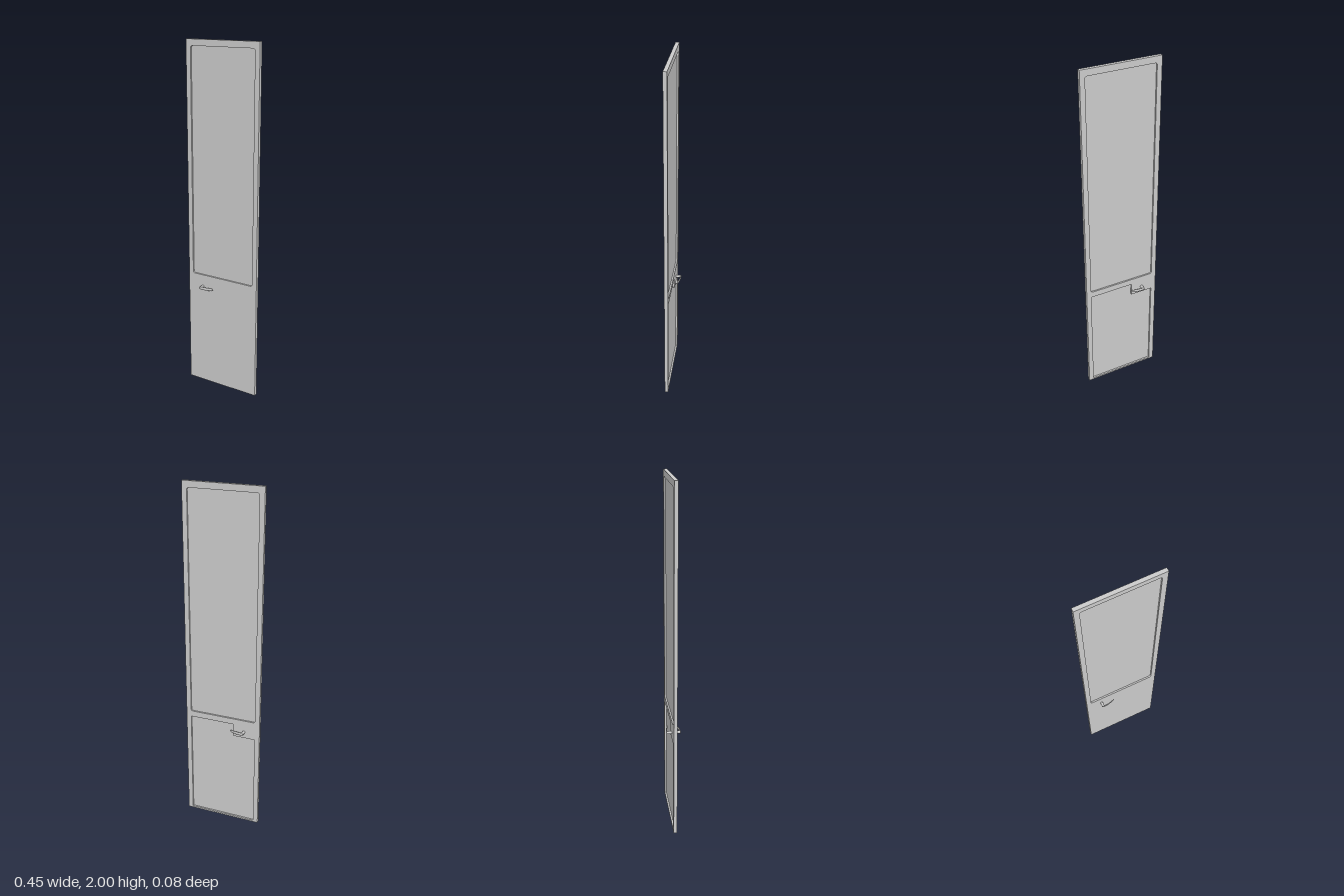
import * as THREE from 'three';
import { ParametricGeometry } from 'three/addons/geometries/ParametricGeometry.js';

const W = 0.225, H = 2, IN = 0.197, T = 0.01;
const material = new THREE.MeshStandardMaterial({ color: 0xcccccc });

function polygon(points) {
  return new THREE.Shape(points.map(([x, y]) => new THREE.Vector2(x, y)));
}

// Rounded rectangle outline for the window opening
function roundedPath(x0, y0, x1, y1, r) {
  const p = new THREE.Path();
  p.absarc(x1 - r, y1 - r, r, 0, Math.PI / 2);
  p.absarc(x0 + r, y1 - r, r, Math.PI / 2, Math.PI);
  p.absarc(x0 + r, y0 + r, r, Math.PI, Math.PI * 1.5);
  p.absarc(x1 - r, y0 + r, r, Math.PI * 1.5, Math.PI * 2);
  p.closePath();
  return p;
}

function add(parent, name, geometry, x = 0, y = 0, z = 0) {
  const mesh = new THREE.Mesh(geometry, material);
  mesh.name = name;
  mesh.position.set(x, y, z);
  parent.add(mesh);
  return mesh;
}

// One half of the door thickness, with the window cut out
function doorSkin(extraHoles) {
  const shape = polygon([[-W, 0], [W, 0], [W, H], [-W, H]]);
  shape.holes.push(roundedPath(-IN, 0.68, IN, 1.965, 0.012), ...extraHoles);
  return new THREE.ExtrudeGeometry(shape, { depth: T, bevelEnabled: false, curveSegments: 6 });
}

// Tapered lever swept along a curve with an elliptical section
function leverGeometry() {
  const curve = new THREE.CatmullRomCurve3([
    [-0.137, 0.037], [-0.128, 0.038], [-0.11, 0.0375], [-0.08, 0.032], [-0.052, 0.023],
  ].map(([x, z]) => new THREE.Vector3(x, 0, z)));
  return new ParametricGeometry((u, v, target) => {
    const p = curve.getPoint(u), t = curve.getTangent(u), a = v * Math.PI * 2;
    const cap = Math.min(1, Math.sqrt(u / 0.06), Math.sqrt((1 - u) / 0.08));
    const thick = cap * (0.004 - 0.002 * u);
    const tall = cap * (0.0065 + 0.0025 * Math.sin(Math.PI * u));
    target.set(
      p.x - t.z * Math.cos(a) * thick,
      Math.sin(a) * tall,
      p.z + t.x * Math.cos(a) * thick);
  }, 32, 16);
}

export function createModel() {
  const door = new THREE.Group();
  door.name = 'door';

  // Flat front, and a back with a pocket stepped around the lock
  add(door, 'frontSkin', doorSkin([]));
  const pocket = polygon([
    [-IN, 0.01], [IN, 0.01], [IN, 0.645], [-0.065, 0.645], [-0.065, 0.57], [-IN, 0.57],
  ]);
  add(door, 'backSkin', doorSkin([pocket]), 0, 0, -T);

  // Thin pane held in the frame
  add(door, 'windowPane', new THREE.BoxGeometry(0.41, 1.3, 0.002), 0, 1.3225, 0);

  // Matching handles on both faces
  for (const side of [1, -1]) {
    const handle = new THREE.Group();
    handle.name = side > 0 ? 'frontHandle' : 'backHandle';
    handle.position.y = 0.608;
    handle.scale.z = side;
    const post = new THREE.CylinderGeometry(0.008, 0.008, 0.036, 20).rotateX(Math.PI / 2);
    add(handle, 'handlePost', post, -0.131, 0, 0.019);
    add(handle, 'handleLever', leverGeometry());
    door.add(handle);
  }
  return door;
}
